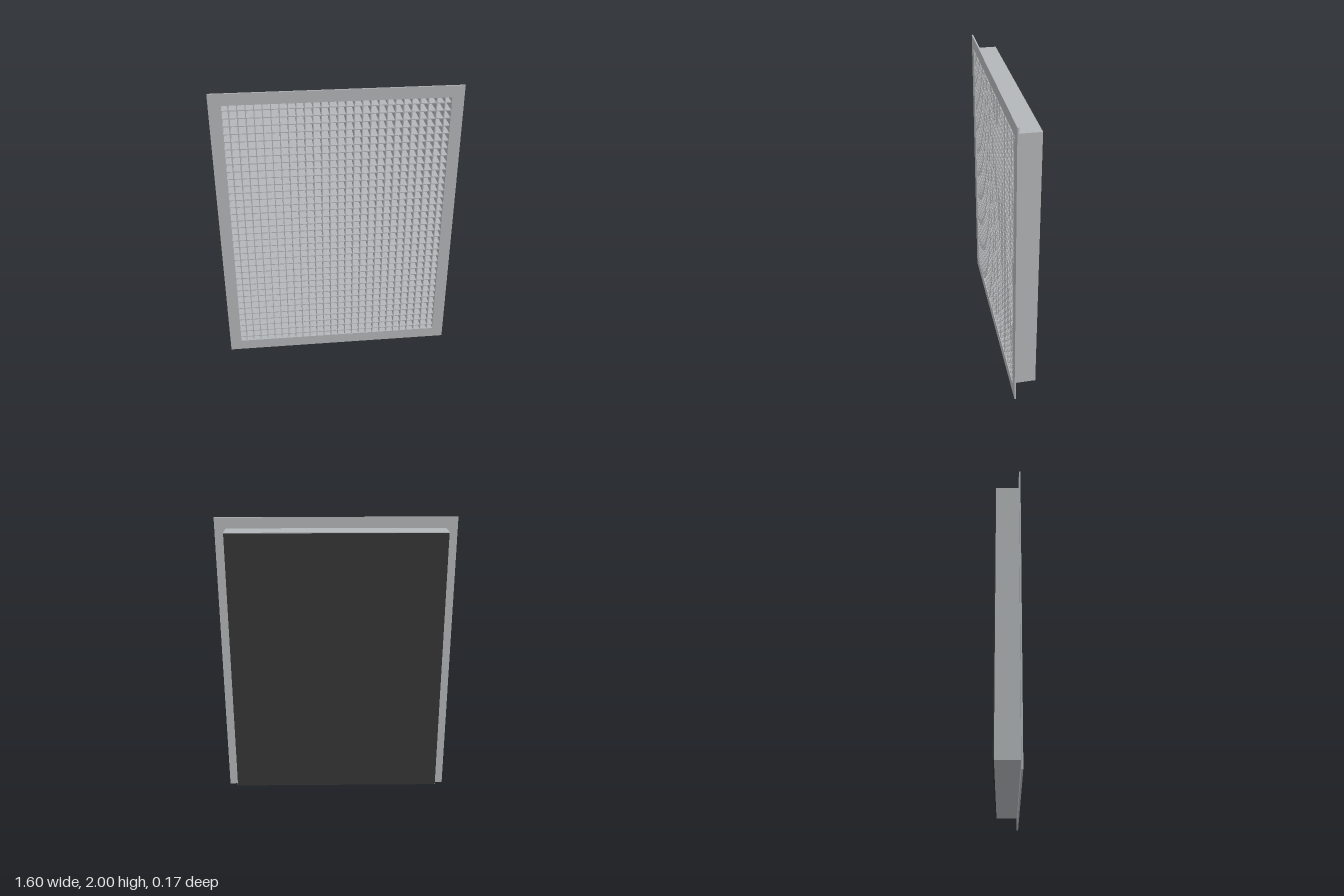
import * as THREE from 'three';

const CY = 1;                 // centre height of the panel
const PITCH = 0.0522;         // spacing of the grid bars
const BAR = 0.006;            // bar thickness
const INNER_W = 1.442, INNER_H = 1.846;

// Rectangular ring extruded from z0 to z1
function ring(w, h, innerW, innerH, z0, z1) {
  const rect = (Type, a, b) => new Type([
    new THREE.Vector2(-a / 2, -b / 2), new THREE.Vector2(a / 2, -b / 2),
    new THREE.Vector2(a / 2, b / 2), new THREE.Vector2(-a / 2, b / 2),
  ]);
  const shape = rect(THREE.Shape, w, h);
  shape.holes.push(rect(THREE.Path, innerW, innerH));
  const geo = new THREE.ExtrudeGeometry(shape, { depth: z1 - z0, bevelEnabled: false });
  return geo.translate(0, CY, z0);
}

function box(w, h, z0, z1, x = 0, y = 0) {
  return new THREE.BoxGeometry(w, h, z1 - z0).translate(x, CY + y, (z0 + z1) / 2);
}

export function createModel() {
  const grey = new THREE.MeshStandardMaterial({ color: 0xb4b7b9 });
  grey.name = 'grey metal';
  const black = new THREE.MeshStandardMaterial({ color: 0x363636 });
  black.name = 'black backing';

  const model = new THREE.Group();
  model.name = 'eggCrateGrille';
  const add = (name, geo, mat, parent = model) => {
    const mesh = new THREE.Mesh(geo, mat);
    mesh.name = name;
    parent.add(mesh);
  };

  // Thin front flange and the sleeve behind it
  add('flange', ring(1.6, 2, INNER_W, INNER_H, 0.073, 0.083), grey);
  add('sleeve', ring(1.448, 1.856, INNER_W, INNER_H, -0.076, 0.073), grey);

  // Grey floor behind the cells, closed by a black panel
  add('cellFloor', box(INNER_W, INNER_H, -0.076, -0.068), grey);
  add('backPanel', box(1.442, 1.848, -0.083, -0.076), black);

  // Crossing bars, set out symmetrically from the centre
  const grid = new THREE.Group();
  grid.name = 'grid';
  model.add(grid);
  for (let i = -13; i <= 13; i++) {
    add('verticalBar', box(BAR, INNER_H, -0.068, 0.08, i * PITCH), grey, grid);
  }
  for (let j = -17; j <= 17; j++) {
    add('horizontalBar', box(INNER_W, BAR, -0.068, 0.08, 0, j * PITCH), grey, grid);
  }
  return model;
}
